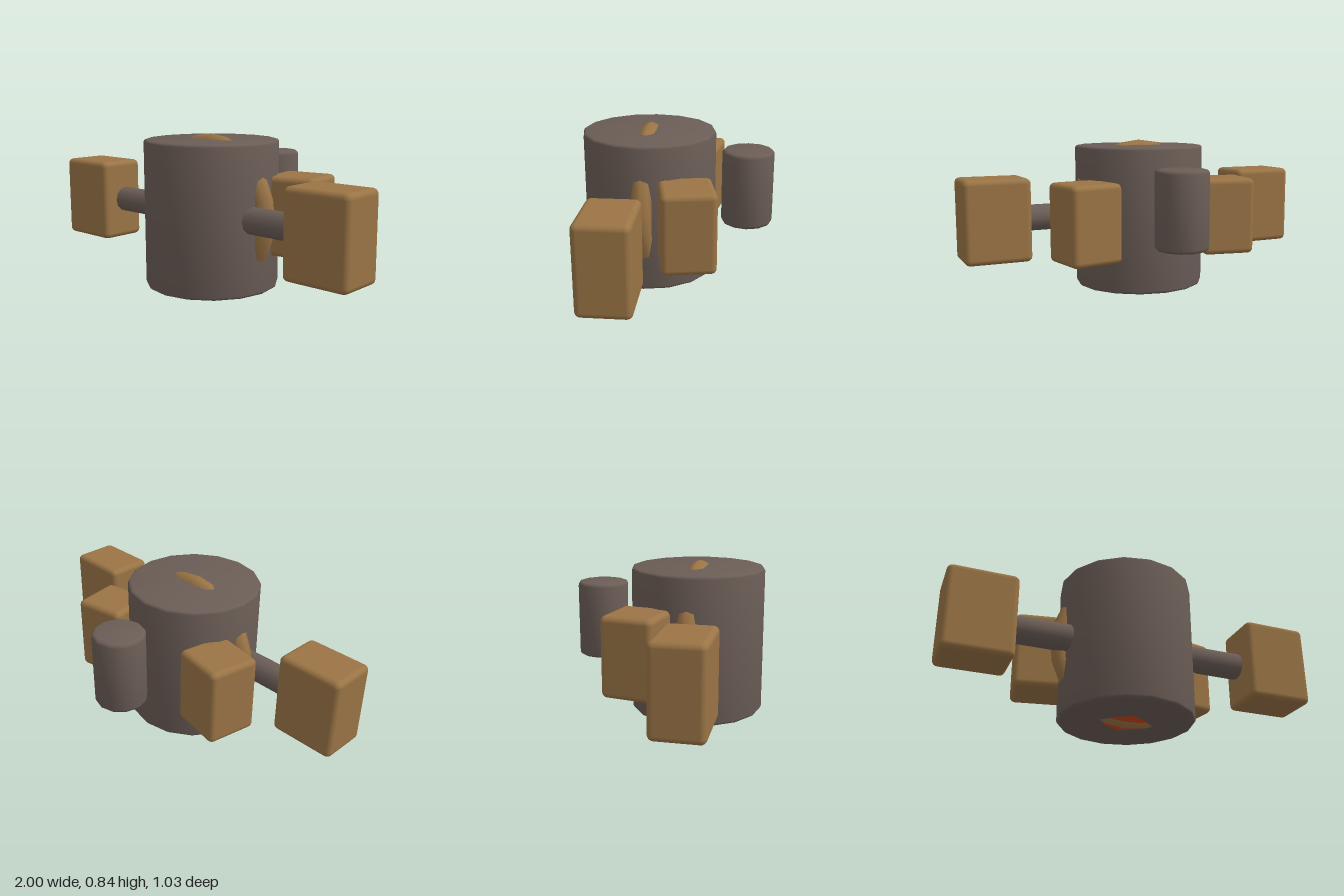
import * as THREE from 'three';
import { toCreasedNormals } from 'three/addons/utils/BufferGeometryUtils.js';
import { RoundedBoxGeometry } from 'three/addons/geometries/RoundedBoxGeometry.js';

const metal = new THREE.MeshStandardMaterial({ color: 0x6b5d56 });
metal.name = 'grey brown metal';
const bronze = new THREE.MeshStandardMaterial({ color: 0x9a7445 });
bronze.name = 'bronze';
const ember = new THREE.MeshStandardMaterial({ color: 0xd0451c });
ember.name = 'ember red';

function add(parent, name, geometry, material, x, y, z) {
  const mesh = new THREE.Mesh(geometry, material);
  mesh.name = name;
  mesh.position.set(x, y, z);
  parent.add(mesh);
  return mesh;
}

// Upright drum with softly rounded rims, standing on its own y = 0
function drum(radius, height, bevel, sides) {
  const points = [new THREE.Vector2(0, 0)];
  for (const top of [false, true]) {
    for (let i = 0; i <= 3; i++) {
      const a = (i / 3) * Math.PI / 2 + (top ? 0 : -Math.PI / 2);
      points.push(new THREE.Vector2(
        radius - bevel + bevel * Math.cos(a),
        (top ? height - bevel : bevel) + bevel * Math.sin(a)));
    }
  }
  points.push(new THREE.Vector2(0, height));
  return toCreasedNormals(new THREE.LatheGeometry(points, sides), 0.6);
}

export function createModel() {
  const model = new THREE.Group();
  model.name = 'drumMachine';

  // Main body and the smaller canister behind it
  add(model, 'body', drum(0.36, 0.785, 0.016, 16), metal, 0, 0.03, 0.155);
  add(model, 'rearCanister', drum(0.14, 0.415, 0.02, 12), metal, 0, 0.3, -0.38);

  // Hoop sunk in the body, showing only at the top, bottom and sides
  add(model, 'hoop', new THREE.TorusGeometry(0.368, 0.054, 8, 24), bronze, 0, 0.422, 0.158);

  // Shallow glowing core under the body
  const core = new THREE.ConeGeometry(0.135, 0.018, 6);
  core.rotateX(Math.PI);
  add(model, 'core', toCreasedNormals(core, 0.4), ember, 0, 0.024, 0.155);

  // Arms, fists and shoulder blocks on both sides
  for (const side of [1, -1]) {
    const label = side > 0 ? 'left' : 'right';
    const arm = new THREE.CylinderGeometry(0.072, 0.072, 0.5, 12);
    arm.rotateZ(Math.PI / 2);
    add(model, label + 'Arm', arm, metal, side * 0.45, 0.427, 0.22);
    add(model, label + 'Fist', new RoundedBoxGeometry(0.36, 0.45, 0.265, 3, 0.03),
      bronze, side * 0.82, 0.427, 0.24);
    const block = add(model, label + 'RearBlock',
      new RoundedBoxGeometry(0.292, 0.422, 0.28, 3, 0.03), bronze, side * 0.41, 0.425, -0.08);
    block.rotation.y = side * 0.175;
  }
  return model;
}
